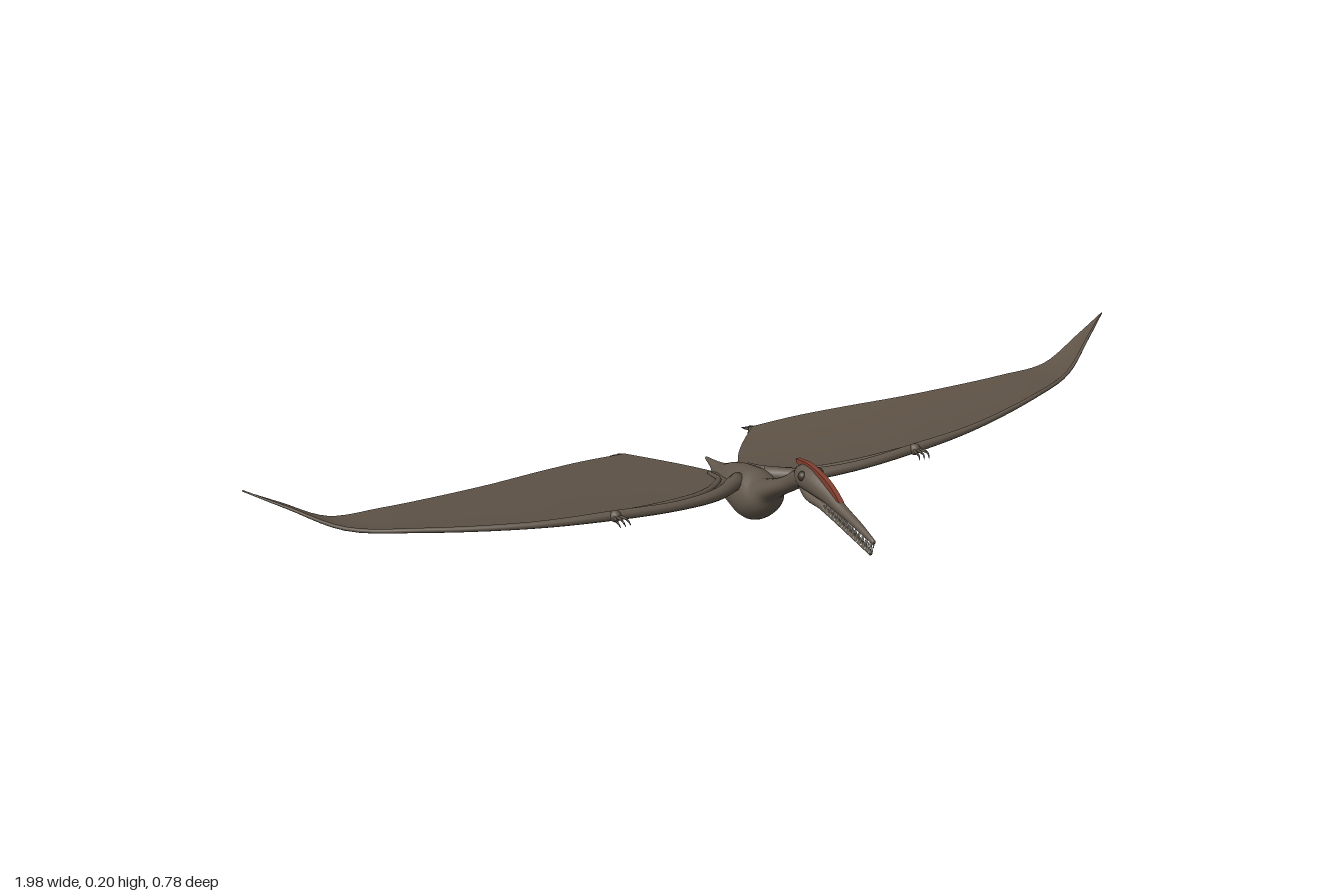
import * as THREE from 'three';

const mat = (name, color, side = THREE.FrontSide) => {
  const m = new THREE.MeshStandardMaterial({ color, side });
  m.name = name;
  return m;
};
const V = (p) => new THREE.Vector3(p[0], p[1], p[2]);

// Smooth tapered body through rows of [x, y, z, halfWidth, halfHeight]
function loft(rows, sides = 14, perSpan = 4) {
  const path = new THREE.CatmullRomCurve3(rows.map(V));
  const size = new THREE.CatmullRomCurve3(
    rows.map((r) => new THREE.Vector3(r[3], r[4] ?? r[3], 0)), false, 'catmullrom', 0.5);
  const n = (rows.length - 1) * perSpan;
  const pos = [], index = [];
  const up = new THREE.Vector3(0, 1, 0);
  for (let k = -1; k <= n + 1; k++) {
    const t = Math.min(Math.max(k / n, 0), 1);
    const closed = k < 0 || k > n;
    const c = path.getPoint(t), s = size.getPoint(t), d = path.getTangent(t);
    const side = up.clone().cross(d).normalize();
    const top = d.clone().cross(side);
    for (let i = 0; i < sides; i++) {
      const a = (i / sides) * Math.PI * 2;
      const p = c.clone();
      if (!closed) p.addScaledVector(side, Math.cos(a) * s.x).addScaledVector(top, Math.sin(a) * s.y);
      pos.push(p.x, p.y, p.z);
    }
  }
  for (let k = 0; k < n + 2; k++) {
    for (let i = 0; i < sides; i++) {
      const a = k * sides + i, b = k * sides + ((i + 1) % sides);
      index.push(a, b, b + sides, a, b + sides, a + sides);
    }
  }
  return surface(pos, index);
}

function surface(pos, index) {
  const g = new THREE.BufferGeometry();
  g.setAttribute('position', new THREE.Float32BufferAttribute(pos, 3));
  g.setIndex(index);
  g.computeVertexNormals();
  return g;
}

const LEADING = [
  [0.03, 0.085, -0.085], [0.1, 0.086, -0.04], [0.2, 0.091, -0.018], [0.34, 0.1, -0.02],
  [0.5, 0.105, -0.045], [0.7, 0.111, -0.115], [0.83, 0.118, -0.18], [0.92, 0.158, -0.24], [0.99, 0.19, -0.288],
];
const TRAILING = [
  [0.15, 0.07, -0.35], [0.25, 0.076, -0.343], [0.36, 0.083, -0.323], [0.48, 0.09, -0.298],
  [0.6, 0.097, -0.28], [0.72, 0.104, -0.268], [0.83, 0.11, -0.27], [0.92, 0.155, -0.279], [0.99, 0.19, -0.29],
];

// Wing skin stretched between the arm and the trailing edge
function membrane(s) {
  const lead = new THREE.CatmullRomCurve3(LEADING.map(V));
  const trail = new THREE.CatmullRomCurve3(TRAILING.map(V));
  const nu = 48, nv = 14, pos = [], index = [];
  for (let i = 0; i <= nu; i++) {
    const u = i / nu, a = lead.getPoint(u), b = trail.getPoint(u);
    for (let j = 0; j <= nv; j++) {
      const v = j / nv, bow = Math.sin(Math.PI * v);
      const p = a.clone().lerp(b, v);
      p.x -= 0.047 * bow * Math.pow(1 - u, 6);
      p.y -= 0.014 * bow * (1 - u);
      pos.push(p.x * s, p.y, p.z);
    }
  }
  for (let i = 0; i < nu; i++) {
    for (let j = 0; j < nv; j++) {
      const a = i * (nv + 1) + j, b = a + nv + 1;
      if (s > 0) index.push(a, b, b + 1, a, b + 1, a + 1);
      else index.push(a, b + 1, b, a, a + 1, b + 1);
    }
  }
  return surface(pos, index);
}

export function createModel() {
  const skin = mat('brown skin', 0x62574b);
  const wingSkin = mat('wing skin', 0x5e5246, THREE.DoubleSide);
  const red = mat('crest red', 0x843f30);
  const white = mat('tooth ivory', 0xeeebe2);
  const dark = mat('dark claw', 0x2e2924);
  const eyeBrown = mat('eye brown', 0x40362d);

  const model = new THREE.Group();
  model.name = 'flyingReptile';
  const add = (name, geometry, material, parent = model) => {
    const m = new THREE.Mesh(geometry, material);
    m.name = name;
    parent.add(m);
    return m;
  };

  // Tail, trunk and neck in one piece
  add('bodyAndNeck', loft([
    [0, 0.057, -0.275, 0.003, 0.003], [0, 0.054, -0.235, 0.012, 0.01], [0, 0.051, -0.2, 0.027, 0.021],
    [0, 0.052, -0.16, 0.037, 0.037], [0, 0.054, -0.11, 0.046, 0.048], [0, 0.054, -0.07, 0.049, 0.053],
    [0, 0.064, -0.035, 0.044, 0.04], [0, 0.085, -0.008, 0.031, 0.024], [0, 0.107, 0.03, 0.025, 0.018],
    [0, 0.13, 0.07, 0.02, 0.017], [0, 0.156, 0.11, 0.019, 0.019], [0, 0.168, 0.14, 0.02, 0.022],
  ], 24), skin);

  // Head
  const head = new THREE.Group();
  head.name = 'head';
  model.add(head);
  add('skullAndUpperJaw', loft([
    [0, 0.169, 0.108, 0.013, 0.013], [0, 0.169, 0.13, 0.023, 0.025], [0, 0.168, 0.165, 0.022, 0.025],
    [0, 0.16, 0.215, 0.015, 0.018], [0, 0.149, 0.27, 0.011, 0.011], [0, 0.139, 0.33, 0.008, 0.008],
    [0, 0.127, 0.386, 0.004, 0.005],
  ], 18), skin, head);
  add('lowerJaw', loft([
    [0, 0.152, 0.125, 0.014, 0.013], [0, 0.139, 0.16, 0.019, 0.013], [0, 0.135, 0.2, 0.015, 0.01],
    [0, 0.125, 0.25, 0.011, 0.007], [0, 0.112, 0.32, 0.008, 0.005], [0, 0.101, 0.376, 0.004, 0.005],
  ], 16), skin, head);

  // Thin crest along the top of the skull
  const outline = new THREE.Shape();
  outline.moveTo(0.268, 0.163);
  outline.bezierCurveTo(0.23, 0.193, 0.18, 0.2, 0.14, 0.2);
  outline.lineTo(0.1, 0.194);
  outline.lineTo(0.104, 0.186);
  outline.lineTo(0.14, 0.18);
  outline.lineTo(0.2, 0.165);
  const crest = new THREE.ExtrudeGeometry(outline, { depth: 0.01, bevelEnabled: false, curveSegments: 16 });
  crest.rotateY(-Math.PI / 2).translate(0.005, 0, 0);
  add('crest', crest, red, head);

  for (const s of [1, -1]) {
    const sideName = s > 0 ? 'left' : 'right';
    const flip = (rows) => rows.map((r) => [r[0] * s, ...r.slice(1)]);

    add(sideName + 'Eye', new THREE.SphereGeometry(0.01, 16, 12), eyeBrown, head)
      .position.set(0.0175 * s, 0.178, 0.15);

    // Interlocking teeth
    for (let i = 0; i < 13; i++) {
      const t = i / 12, z = 0.225 + 0.155 * t, x = s * (0.0105 - 0.0075 * t), h = 0.009 + 0.005 * t;
      const upper = add('upperTooth', new THREE.ConeGeometry(0.0026, h, 6), white, head);
      upper.position.set(x, 0.142 - 0.02 * t - h / 2 + 0.002, z);
      upper.rotation.x = Math.PI;
      add('lowerTooth', new THREE.ConeGeometry(0.0026, h, 6), white, head)
        .position.set(x, 0.135 - 0.03 * t + h / 2 - 0.002, z - 0.006);
    }

    // Wing
    const wing = new THREE.Group();
    wing.name = sideName + 'Wing';
    model.add(wing);
    add('membrane', membrane(s), wingSkin, wing);
    const armRadius = [0.017, 0.013, 0.01, 0.01, 0.007, 0.005, 0.004, 0.003, 0.0015];
    add('armAndWingFinger', loft(flip(LEADING.map((p, i) => [...p, armRadius[i]])), 10, 5), skin, wing);
    add('armFold', loft(flip([
      [0.045, 0.068, -0.18, 0.004], [0.056, 0.078, -0.12, 0.006], [0.12, 0.084, -0.065, 0.006],
      [0.22, 0.09, -0.043, 0.005], [0.34, 0.099, -0.033, 0.004],
    ]), 8), skin, wing);
    add('wrist', new THREE.SphereGeometry(0.012, 12, 8), skin, wing).position.set(0.34 * s, 0.101, -0.014);
    for (const k of [-1, 0, 1]) {
      const x = 0.34 + k * 0.005, tip = 0.34 + k * 0.011;
      add('smallFinger', loft(flip([[x, 0.102, -0.01, 0.003], [tip, 0.103, 0.012, 0.0025]]), 6), skin, wing);
      add('fingerClaw', loft(flip([
        [tip, 0.103, 0.01, 0.0025], [tip, 0.101, 0.02, 0.002], [tip - 0.002, 0.094, 0.027, 0.0005],
      ]), 6), dark, wing);
    }

    // Hind leg trailing behind
    const leg = new THREE.Group();
    leg.name = sideName + 'Leg';
    model.add(leg);
    add('thighAndShin', loft(flip([
      [0.018, 0.042, -0.16, 0.018], [0.042, 0.038, -0.205, 0.017], [0.08, 0.045, -0.257, 0.011],
      [0.125, 0.055, -0.318, 0.007], [0.152, 0.061, -0.358, 0.006],
    ]), 12), skin, leg);
    for (const k of [-1, 0, 1]) {
      const tip = 0.155 + k * 0.009;
      add('toe', loft(flip([[0.152, 0.061, -0.352, 0.004], [tip, 0.058, -0.375, 0.0025]]), 6), skin, leg);
      add('toeClaw', loft(flip([[tip, 0.058, -0.373, 0.0025], [tip, 0.054, -0.389, 0.0005]]), 6), dark, leg);
    }
  }
  return model;
}
